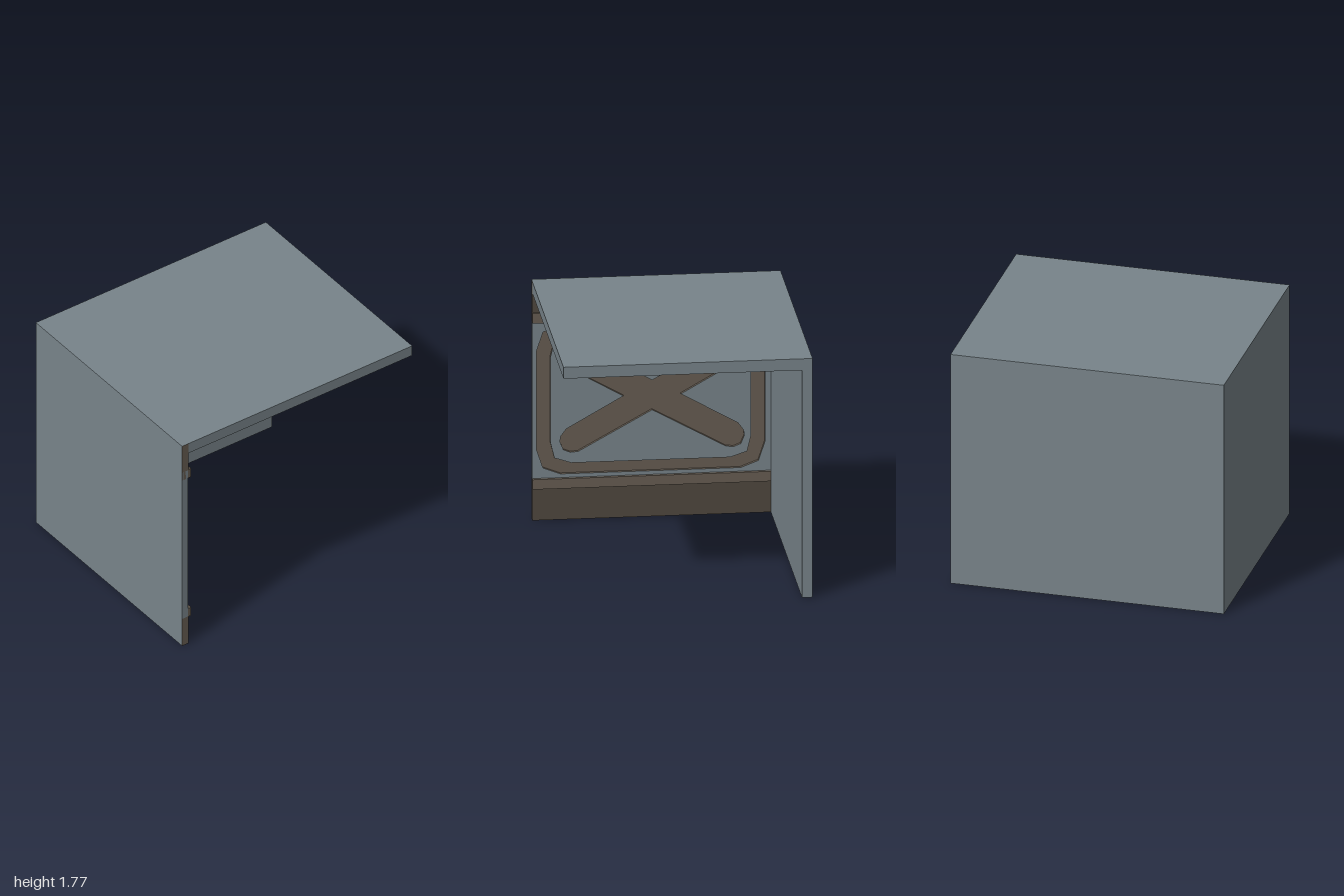
import * as THREE from 'three';

const grey = new THREE.MeshStandardMaterial({ color: 0x78848a });
const brown = new THREE.MeshStandardMaterial({ color: 0x675d52 });
const darkBrown = new THREE.MeshStandardMaterial({ color: 0x4f483f });

// Overall extents
const H = 1.775, ZF = 0.885, ZB = -0.885, ZI = -0.81, LID = 1.69;
const FLOOR = -0.975, FACE = -0.95, TRIM = -0.945;

export function createModel() {
  const group = new THREE.Group();

  const add = (name, geometry, material) => {
    const mesh = new THREE.Mesh(geometry, material);
    mesh.name = name;
    group.add(mesh);
  };

  // Box from minimum and maximum corners; material may list +x, -x, +y, -y, +z, -z
  const box = (name, [x0, y0, z0], [x1, y1, z1], material) => {
    const g = new THREE.BoxGeometry(x1 - x0, y1 - y0, z1 - z0);
    g.translate((x0 + x1) / 2, (y0 + y1) / 2, (z0 + z1) / 2);
    add(name, g, material);
  };

  // Closed outline mirrored from one quarter
  const outline = (quarter, cx, cy) => {
    const rev = [...quarter].reverse();
    const all = [
      ...quarter,
      ...rev.map(([x, y]) => [-x, y]),
      ...quarter.map(([x, y]) => [-x, -y]),
      ...rev.map(([x, y]) => [x, -y]),
    ].map(([x, y]) => new THREE.Vector2(cx + x, cy + y));
    return all.filter((p, i) => p.distanceTo(all[(i + 1) % all.length]) > 1e-4);
  };

  // Plate on the wall's inner side, with one cut-out whose walls are brown
  const plate = (name, points, hole) => {
    const shape = new THREE.Shape(points);
    shape.holes.push(new THREE.Path(hole));
    const g = new THREE.ExtrudeGeometry(shape, { depth: FACE - FLOOR, bevelEnabled: false });
    g.rotateY(Math.PI / 2);
    g.translate(FLOOR, 0, 0);
    add(name, g, [grey, brown]);
  };

  // Plain shell: back wall and lid
  box('backWall', [-1, 0, ZB], [1, H, ZI], grey);
  box('lid', [TRIM, LID, ZI], [1, H, ZF], grey);

  // Side wall: backing whose inner face is the floor of the grooves
  box('sideWall', [-1, 0.24, ZI], [FLOOR, 1.54, ZF], [brown, grey, grey, grey, grey, grey]);
  box('sideWallEdge', [FLOOR, 0.24, 0.87], [FACE, 1.54, ZF], grey);

  // Recessed ring and cross
  const ringOuter = outline([[0.812, 0.365], [0.765, 0.505], [0.64, 0.553]], -0.043, 0.89);
  const ringInner = outline([[0.713, 0.316], [0.685, 0.433], [0.565, 0.473]], -0.043, 0.89);
  const cross = outline([
    [0.204, 0], [0.61, 0.23], [0.65, 0.285], [0.655, 0.325],
    [0.63, 0.385], [0.58, 0.405], [0.525, 0.4], [0, 0.11],
  ], -0.033, 0.9);
  const border = [[-0.87, 0.24], [-ZI, 0.24], [-ZI, 1.54], [-0.87, 1.54]]
    .map(([x, y]) => new THREE.Vector2(x, y));
  plate('panelBorder', border, ringOuter);
  plate('panelField', ringInner, cross);

  // Trim boards with projecting rails
  const trim = [darkBrown, grey, grey, grey, brown, brown];
  box('lowerTrim', [-1, 0, ZI], [TRIM, 0.31, ZF], trim);
  box('upperTrim', [-1, 1.47, ZI], [TRIM, H, ZF], trim);
  box('lowerRail', [TRIM, 0.237, ZI], [-0.922, 0.31, ZF], brown);
  box('upperRail', [TRIM, 1.47, ZI], [-0.922, 1.545, ZF], brown);

  return group;
}
